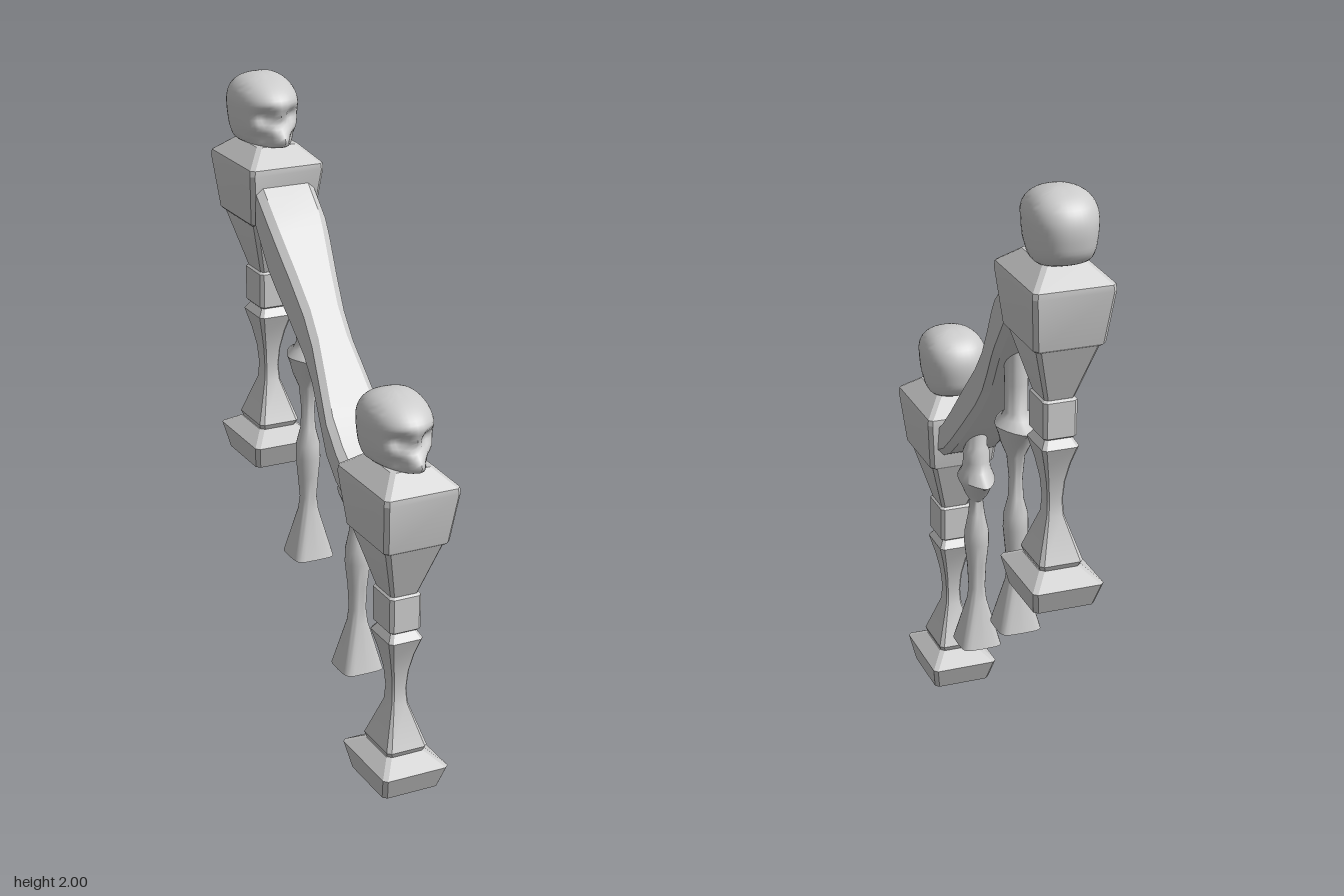
import * as THREE from 'three';
import { toCreasedNormals } from 'three/addons/utils/BufferGeometryUtils.js';

const material = new THREE.MeshStandardMaterial({ color: 0xcccccc });

// Skin a list of rings (arrays of [x, y, z]) and close both ends
function loft(rings, crease) {
  const n = rings[0].length, pos = rings.flat(2), idx = [];
  for (let i = 0; i < rings.length - 1; i++) {
    for (let j = 0; j < n; j++) {
      const a = i * n + j, b = i * n + (j + 1) % n;
      idx.push(a, b, b + n, a, b + n, a + n);
    }
  }
  const last = (rings.length - 1) * n;
  for (let j = 1; j < n - 1; j++) idx.push(0, j + 1, j, last, last + j, last + j + 1);
  const g = new THREE.BufferGeometry();
  g.setAttribute('position', new THREE.Float32BufferAttribute(pos, 3));
  g.setIndex(idx);
  return toCreasedNormals(g, crease);
}

function part(name, geometry, parent) {
  const mesh = new THREE.Mesh(geometry, material);
  mesh.name = name;
  parent.add(mesh);
  return mesh;
}

// Rectangle with chamfered corners, half sizes hx and hz
function chamferedRing(y, hx, hz) {
  const c = Math.min(0.012, hx * 0.2);
  return [[-hx + c, hz], [hx - c, hz], [hx, hz - c], [hx, -hz + c],
    [hx - c, -hz], [-hx + c, -hz], [-hx, -hz + c], [-hx, hz - c]].map(([x, z]) => [x, y, z]);
}

const spow = (v, p) => Math.sign(v) * Math.abs(v) ** p;

// Superellipse ring: power 1 is round, small power is square
function roundRing(y, hx, hz, power) {
  return Array.from({ length: 20 }, (_, j) => {
    const a = (j / 20) * Math.PI * 2;
    return [hx * spow(Math.sin(a), power), y, hz * spow(Math.cos(a), power)];
  });
}

// Newel post sections: [y, half width, half depth]
const POST = {
  foot: [[0, 0.095, 0.112], [0.078, 0.11, 0.145], [0.115, 0.065, 0.08]],
  baluster: [[0.115, 0.062, 0.078], [0.132, 0.068, 0.087], [0.262, 0.027, 0.032],
    [0.31, 0.024, 0.027], [0.37, 0.029, 0.033], [0.43, 0.041, 0.048],
    [0.49, 0.057, 0.071], [0.522, 0.037, 0.044]],
  block: [[0.517, 0.046, 0.056], [0.523, 0.052, 0.064], [0.632, 0.052, 0.064], [0.638, 0.046, 0.056]],
  funnel: [[0.635, 0.045, 0.054], [0.815, 0.097, 0.12], [0.82, 0.097, 0.12]],
  capital: [[0.812, 0.1, 0.122], [0.82, 0.108, 0.13], [0.982, 0.124, 0.162],
    [1.0, 0.122, 0.16], [1.052, 0.068, 0.09]],
};

// Skull sections: [y, half width, back z, front z]
const SKULL = [[0, 0.06, -0.08, 0.085], [0.012, 0.082, -0.12, 0.125], [0.04, 0.092, -0.147, 0.128],
  [0.075, 0.097, -0.156, 0.12], [0.11, 0.1, -0.159, 0.118], [0.14, 0.1, -0.154, 0.118],
  [0.17, 0.091, -0.138, 0.092], [0.195, 0.07, -0.108, 0.05], [0.21, 0.038, -0.07, 0.005],
  [0.215, 0.004, -0.036, -0.028]];

function skullGeometry() {
  const shape = new THREE.CatmullRomCurve3(
    SKULL.map(([, w, b, f]) => new THREE.Vector3(w, b, f)), false, 'catmullrom');
  const height = new THREE.SplineCurve(SKULL.map(([y], i) => new THREE.Vector2(i, y)));
  const rings = [], rows = 27, cols = 40, centre = -0.045;
  const bump = (x, y, cx, cy, r) => Math.exp(-((x - cx) ** 2 + (y - cy) ** 2) / (r * r));
  for (let i = 0; i <= rows; i++) {
    const s = shape.getPoint(i / rows), y = height.getPoint(i / rows).y;
    rings.push(Array.from({ length: cols }, (_, j) => {
      const a = (j / cols) * Math.PI * 2, c = Math.cos(a);
      let x = s.x * spow(Math.sin(a), 0.88);
      let z = centre + spow(c, 0.92) * (c > 0 ? s.z - centre : centre - s.y);
      if (c > 0) {
        const ax = Math.abs(x);
        z -= 0.035 * bump(ax, y, 0.043, 0.095, 0.026);  // eye sockets
        z -= 0.028 * bump(ax, y, 0.055, 0.03, 0.024);   // hollow cheeks
        z -= 0.014 * bump(ax, y, 0, 0.075, 0.016);      // nose opening
        z += 0.016 * bump(ax, y, 0, 0.03, 0.022);       // teeth
        x *= 1 - 0.1 * c * bump(0, y, 0, 0.03, 0.03);
      }
      return [x, y, z];
    }));
  }
  return loft(rings, 1.1);
}

// Baluster sections: [y, half width, half depth, corner power]
const BALUSTERS = [
  { z: 0.18, rows: [[0.25, 0.068, 0.067, 0.4], [0.405, 0.029, 0.03, 0.6], [0.45, 0.027, 0.027, 1],
    [0.53, 0.031, 0.031, 1], [0.61, 0.04, 0.04, 1], [0.65, 0.039, 0.04, 1], [0.71, 0.027, 0.028, 1],
    [0.76, 0.021, 0.021, 1], [0.785, 0.035, 0.046, 1], [0.82, 0.05, 0.07, 1.1], [0.84, 0.06, 0.106, 1.4],
    [0.872, 0.047, 0.06, 1.2], [0.9, 0.042, 0.045, 1], [0.93, 0.042, 0.046, 1],
    [0.95, 0.035, 0.036, 1], [1.03, 0.033, 0.033, 1]] },
  { z: -0.172, rows: [[0.49, 0.068, 0.067, 0.4], [0.645, 0.029, 0.03, 0.6], [0.69, 0.027, 0.027, 1],
    [0.76, 0.033, 0.033, 1], [0.825, 0.039, 0.04, 1], [0.87, 0.038, 0.039, 1], [0.925, 0.024, 0.025, 1],
    [0.99, 0.021, 0.021, 1], [1.065, 0.028, 0.03, 1], [1.11, 0.046, 0.057, 1], [1.145, 0.055, 0.075, 1.1],
    [1.168, 0.065, 0.106, 1.4], [1.192, 0.047, 0.055, 1.2], [1.21, 0.036, 0.037, 1],
    [1.3, 0.036, 0.036, 1], [1.42, 0.035, 0.035, 1]] },
];

// Handrail stations, front to back: [z, top y, bottom y, half width]
const RAIL = [[0.32, 0.975, 0.865, 0.096], [0.25, 1.03, 0.9, 0.097], [0.18, 1.1, 0.96, 0.095],
  [0.1, 1.205, 1.05, 0.081], [0.03, 1.293, 1.132, 0.069], [-0.03, 1.37, 1.202, 0.068],
  [-0.1, 1.459, 1.283, 0.078], [-0.18, 1.561, 1.376, 0.092], [-0.22, 1.608, 1.422, 0.097],
  [-0.31, 1.69, 1.54, 0.098]];

function railGeometry() {
  return loft(RAIL.map(([z, t, b, w]) => {
    const bev = 0.022;
    return [[-w + bev, t, z], [w - bev, t, z], [w, t - bev, z], [w, b + bev, z],
      [w - bev, b, z], [-w + bev, b, z], [-w, b + bev, z], [-w, t - bev, z]];
  }), 0.35);
}

export function createModel() {
  const model = new THREE.Group();
  model.name = 'stairRailing';

  // Two matching newel posts, each topped by a skull
  const skull = skullGeometry();
  [['frontPost', 0, 0.453], ['backPost', 0.738, -0.453]].forEach(([name, y, z]) => {
    const post = new THREE.Group();
    post.name = name;
    post.position.set(0, y, z);
    for (const [key, rows] of Object.entries(POST)) {
      part(key, loft(rows.map((r) => chamferedRing(...r)), 0.35), post);
    }
    part('skull', skull, post).position.y = 1.046;
    model.add(post);
  });

  // Sloping handrail
  part('handrail', railGeometry(), model).position.x = -0.006;

  // Turned balusters with winged collars
  BALUSTERS.forEach(({ z, rows }, i) => {
    const mesh = part(i ? 'backBaluster' : 'frontBaluster',
      loft(rows.map((r) => roundRing(...r)), 0.9), model);
    mesh.position.set(0.006, 0, z);
  });
  return model;
}
